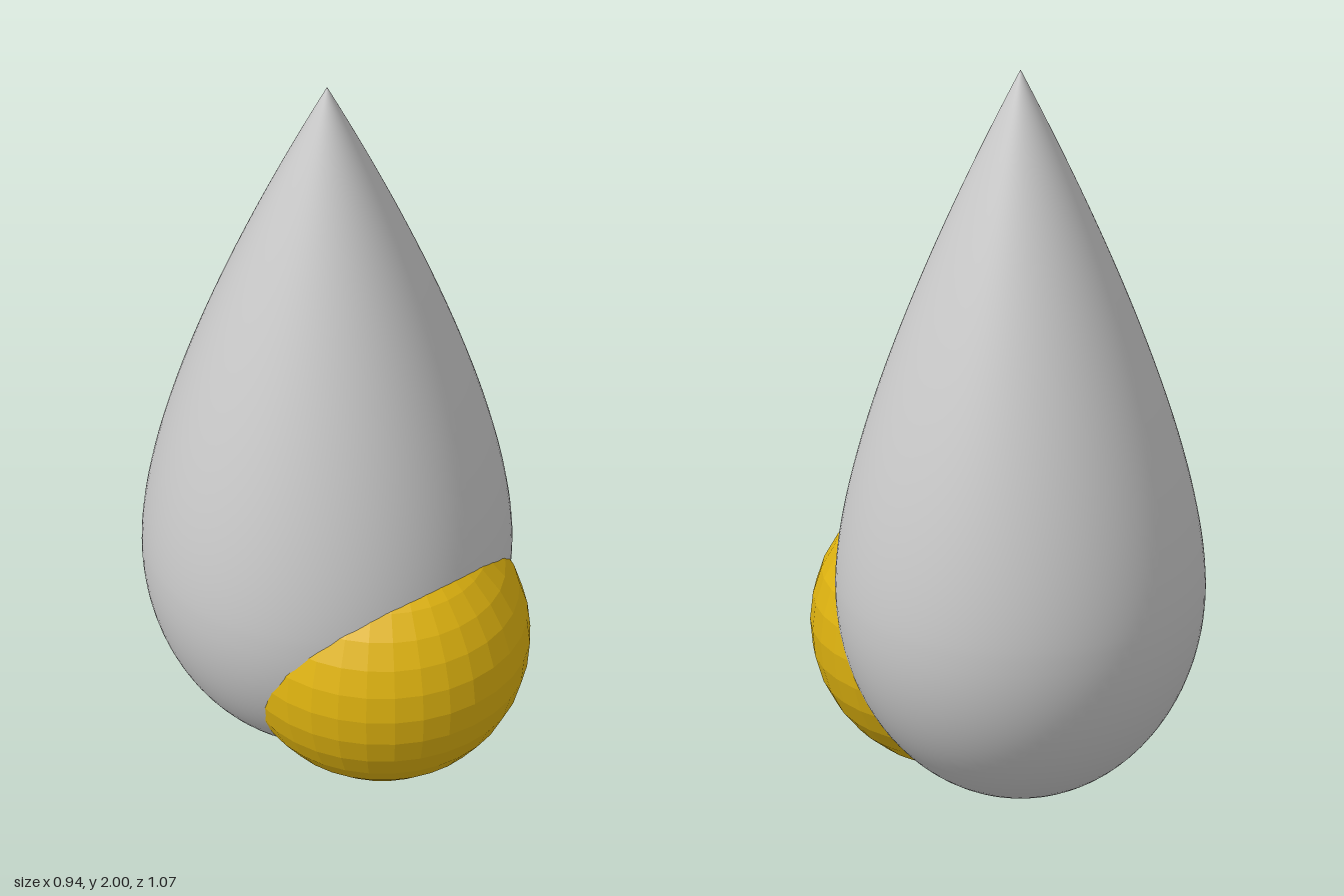
import * as THREE from 'three';

export function createModel() {
  const model = new THREE.Group();

  // Teardrop body: rounded base swelling, then tapering to a pointed tip
  const V = (x, y) => new THREE.Vector2(x, y);
  const base = new THREE.CubicBezierCurve(V(0, 0), V(0.26, 0), V(0.47, 0.25), V(0.47, 0.56));
  const taper = new THREE.CubicBezierCurve(V(0.47, 0.56), V(0.47, 0.9), V(0.235, 1.5), V(0, 2));
  const profile = [...base.getPoints(24), ...taper.getPoints(40).slice(1)];
  const body = new THREE.Mesh(
    new THREE.LatheGeometry(profile, 96),
    new THREE.MeshStandardMaterial({ color: 0xcccccc })
  );
  body.name = 'teardropBody';
  body.position.z = -0.065;
  model.add(body);

  // Faceted golden ball, partly sunk into the lower front of the body
  const ball = new THREE.Mesh(
    new THREE.SphereGeometry(0.376, 32, 16),
    new THREE.MeshStandardMaterial({ color: 0xe0b410, flatShading: true })
  );
  ball.name = 'frontBall';
  ball.position.set(0, 0.385, 0.16);
  model.add(ball);

  return model;
}
